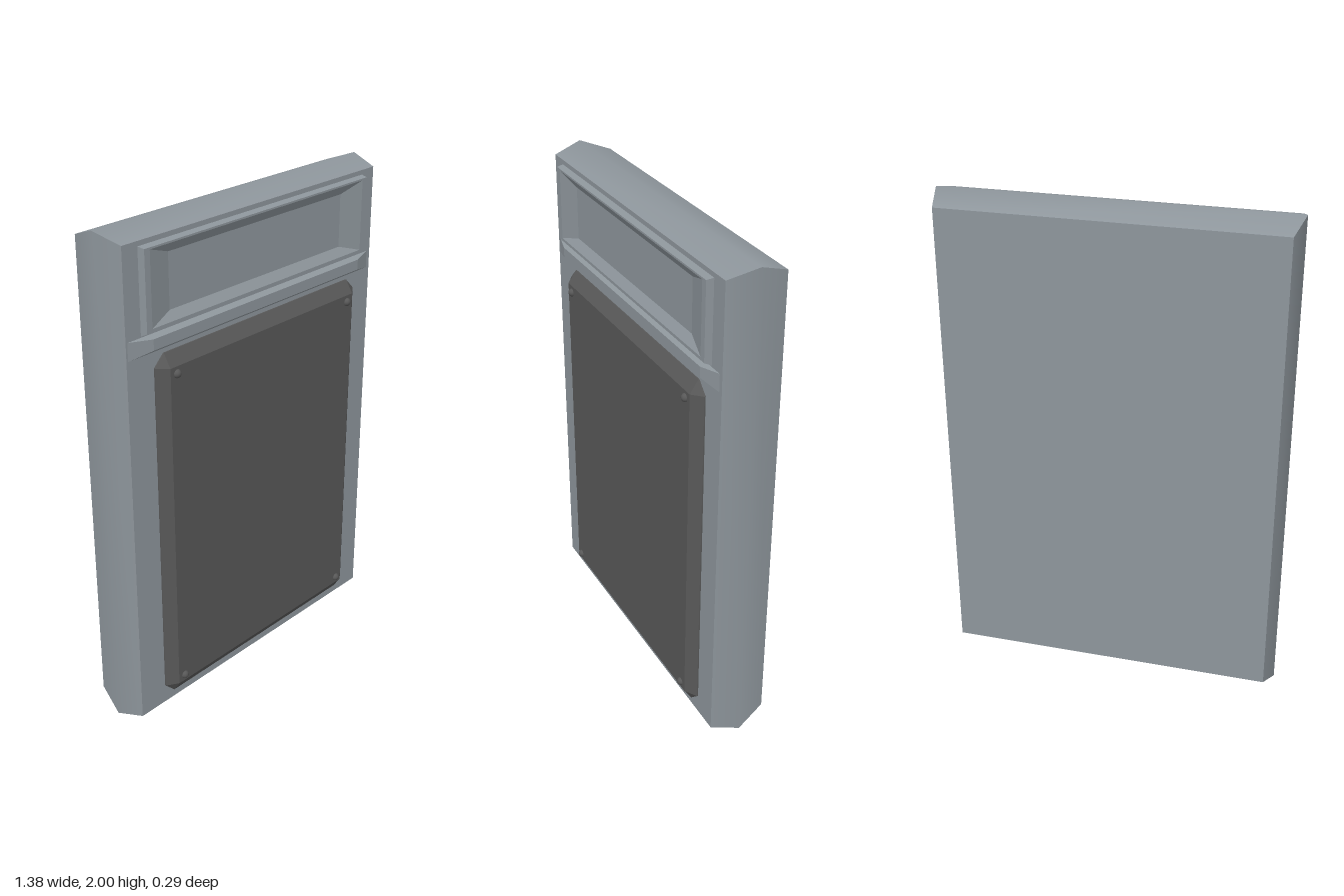
import * as THREE from 'three';
import { mergeGeometries } from 'three/addons/utils/BufferGeometryUtils.js';

// Counter-clockwise outline of a rectangle, its corners cut by c (c = 0 repeats each corner)
function outline(x0, x1, y0, y1, z, c = 0) {
  return [
    [x0 + c, y0, z], [x1 - c, y0, z], [x1, y0 + c, z], [x1, y1 - c, z],
    [x1 - c, y1, z], [x0 + c, y1, z], [x0, y1 - c, z], [x0, y0 + c, z],
  ];
}

function geometry(points, index, smooth) {
  let g = new THREE.BufferGeometry();
  g.setAttribute('position', new THREE.Float32BufferAttribute(points.flat(), 3));
  g.setIndex(index);
  if (!smooth) g = g.toNonIndexed();
  g.computeVertexNormals();
  return g.index ? g.toNonIndexed() : g;
}

// Joins outlines from back to front; each side is its own strip, so corners stay sharp
function loft(loops, { smooth = false, backCap = false } = {}) {
  const parts = [];
  const n = loops[0].length;
  const same = (a, b) => a.every((v, k) => v === b[k]);
  for (let i = 0; i < n; i++) {
    const j = (i + 1) % n;
    if (loops.every((l) => same(l[i], l[j]))) continue;
    const points = [], index = [];
    loops.forEach((l, k) => {
      points.push(l[i], l[j]);
      if (k > 0) {
        const a = 2 * k - 2;
        index.push(a, a + 1, a + 3, a, a + 3, a + 2);
      }
    });
    parts.push(geometry(points, index, smooth));
  }
  // Flat caps
  const cap = (loop, back) => {
    const index = [];
    for (let i = 1; i < n - 1; i++) index.push(0, ...(back ? [i + 1, i] : [i, i + 1]));
    const g = geometry(loop, index, false);
    const normals = g.attributes.normal;
    for (let i = 0; i < normals.count; i++) normals.setXYZ(i, 0, 0, back ? -1 : 1);
    parts.push(g);
  };
  cap(loops[n ? loops.length - 1 : 0], false);
  if (backCap) cap(loops[0], true);
  return mergeGeometries(parts);
}

export function createModel() {
  const model = new THREE.Group();
  const grey = new THREE.MeshStandardMaterial({ color: 0x8e969c });
  grey.name = 'steel grey';
  const dark = new THREE.MeshStandardMaterial({ color: 0x585858 });
  dark.name = 'dark grey';

  const add = (name, geo, material) => {
    const mesh = new THREE.Mesh(geo, material);
    mesh.name = name;
    model.add(mesh);
    return mesh;
  };

  // Slab with sides that bulge at mid depth
  add('body', loft([
    outline(-0.66, 0.66, 0.05, 1.955, -0.145),
    outline(-0.69, 0.69, 0, 2, -0.025),
    outline(-0.665, 0.665, 0.035, 1.968, 0.092),
  ], { smooth: true, backCap: true }), grey);

  // Raised rim around a shallow sloped recess
  add('upperFrame', loft([
    outline(-0.595, 0.595, 1.63, 1.95, 0.09),
    outline(-0.59, 0.59, 1.645, 1.945, 0.119),
    outline(-0.565, 0.565, 1.657, 1.938, 0.119),
    outline(-0.46, 0.46, 1.69, 1.9, 0.095),
  ]), grey);

  // Tapered bar below the frame
  add('ledge', loft([
    outline(-0.665, 0.655, 1.555, 1.627, 0.09),
    outline(-0.56, 0.56, 1.575, 1.617, 0.117),
  ]), grey);

  // Bevelled lower panel with cut corners
  add('lowerPanel', loft([
    outline(-0.54, 0.56, 0.07, 1.54, 0.09, 0.045),
    outline(-0.54, 0.56, 0.07, 1.54, 0.097, 0.045),
    outline(-0.497, 0.515, 0.12, 1.49, 0.13),
  ]), dark);

  // Screw heads in the panel corners
  const screw = new THREE.SphereGeometry(0.017, 12, 8);
  for (const x of [-0.465, 0.483]) {
    for (const y of [0.147, 1.462]) {
      add('screw', screw, dark).position.set(x, y, 0.128);
    }
  }

  return model;
}
